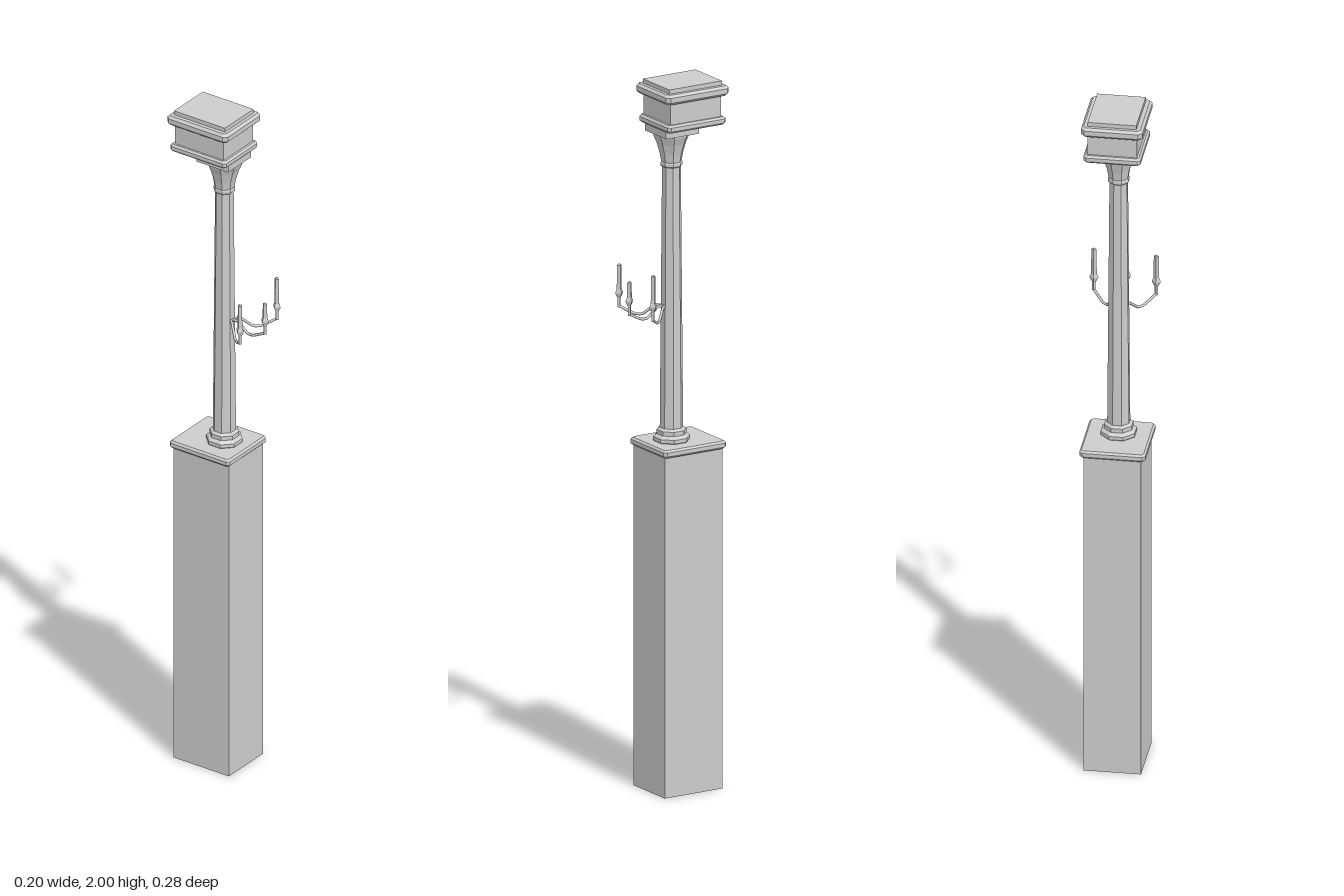
import * as THREE from 'three';

const stone = new THREE.MeshStandardMaterial({ color: 0xcccccc });
stone.name = 'light grey';

// Loft of corner-cut rectangles; each section is [y, half width, half depth, corner cut]
function loft(name, sections, cz) {
  const rings = sections.map(([y, w, d, c]) => [
    [w - c, d], [w, d - c], [w, -d + c], [w - c, -d],
    [-w + c, -d], [-w, -d + c], [-w, d - c], [-w + c, d],
  ].map(([x, z]) => [x, y, z + cz]));
  const pos = [];
  const tri = (...corners) => corners.forEach((p) => pos.push(...p));
  for (let i = 0; i < rings.length - 1; i++) {
    for (let j = 0; j < 8; j++) {
      const k = (j + 1) % 8;
      const a = rings[i][j], b = rings[i][k], c = rings[i + 1][k], d = rings[i + 1][j];
      tri(a, b, c);
      tri(a, c, d);
    }
  }
  // End faces
  const bottom = rings[0], top = rings[rings.length - 1];
  for (let j = 1; j < 7; j++) {
    tri(top[0], top[j], top[j + 1]);
    tri(bottom[0], bottom[j + 1], bottom[j]);
  }
  const geometry = new THREE.BufferGeometry();
  geometry.setAttribute('position', new THREE.Float32BufferAttribute(pos, 3));
  geometry.computeVertexNormals();
  const mesh = new THREE.Mesh(geometry, stone);
  mesh.name = name;
  return mesh;
}

// Regular octagon sections from [y, half width] pairs
const octagon = (name, profile, cz) =>
  loft(name, profile.map(([y, r]) => [y, r, r, r * 0.586]), cz);

// Rectangular moulding with softened top and bottom edges
function moulding(name, y0, y1, w, d, cz) {
  const e = (y1 - y0) * 0.25;
  return loft(name, [
    [y0, w - e, d - e, e], [y0 + e, w, d, e * 1.5],
    [y1 - e, w, d, e * 1.5], [y1, w - e, d - e, e],
  ], cz);
}

function block(name, y0, y1, w, d, cz) {
  const mesh = new THREE.Mesh(new THREE.BoxGeometry(2 * w, y1 - y0, 2 * d), stone);
  mesh.position.set(0, (y0 + y1) / 2, cz);
  mesh.name = name;
  return mesh;
}

// Curved arm with a square cup and candle at its end
function candleArm(name, end, lift) {
  const start = new THREE.Vector3(0, 0, 0.01);
  const at = (t, y) => new THREE.Vector3(end[0] * t, y, start.z + (end[1] - start.z) * t);
  const arm = new THREE.Group();
  arm.name = name;
  const path = new THREE.CatmullRomCurve3([
    at(0.05, 1.368), at(0.22, 1.37), at(0.5, 1.343), at(0.68, 1.343), at(1, 1.362),
  ], false, 'catmullrom', 0.2);
  const tube = new THREE.TubeGeometry(path, 20, 0.004, 6, false);
  const rod = new THREE.Mesh(tube, stone);
  rod.name = 'armRod';
  const profile = [
    [0, 1.357], [0.005, 1.359], [0.005, 1.385], [0.012, 1.398],
    [0.012, 1.402], [0.008, 1.41], [0.007, 1.452 + lift], [0, 1.457 + lift],
  ].map(([x, y]) => new THREE.Vector2(x, y));
  const lathe = new THREE.LatheGeometry(profile, 4).toNonIndexed();
  lathe.computeVertexNormals();
  const candle = new THREE.Mesh(lathe, stone);
  candle.name = 'candle';
  candle.position.set(end[0], 0, end[1]);
  arm.add(rod, candle);
  return arm;
}

export function createModel() {
  const model = new THREE.Group();
  model.name = 'candlePost';
  const postZ = -0.008, headZ = -0.0435, plinthZ = -0.029;

  // Tall pedestal and its slab
  model.add(block('pedestal', 0, 0.967, 0.079, 0.093, plinthZ));
  model.add(moulding('pedestalSlab', 0.964, 0.986, 0.091, 0.101, -0.03));

  // Column foot, shaft and flared capital
  model.add(octagon('columnFoot', [
    [0.984, 0.044], [0.988, 0.047], [0.998, 0.047], [1.002, 0.043],
    [1.006, 0.038], [1.018, 0.038], [1.024, 0.03],
  ], postZ));
  model.add(octagon('columnShaft', [[1.015, 0.03], [1.77, 0.024]], postZ));
  model.add(octagon('capital', [
    [1.762, 0.025], [1.765, 0.028], [1.773, 0.028], [1.776, 0.026],
    [1.8, 0.03], [1.83, 0.038], [1.85, 0.046], [1.86, 0.047],
  ], postZ));

  // Stepped rectangular head
  model.add(block('headStep', 1.857, 1.882, 0.053, 0.053, -0.01));
  model.add(moulding('headLowerMoulding', 1.878, 1.9, 0.079, 0.094, headZ));
  model.add(block('headBody', 1.892, 1.97, 0.068, 0.082, headZ));
  model.add(moulding('headUpperMoulding', 1.96, 1.988, 0.085, 0.1015, headZ));
  model.add(block('headTop', 1.98, 2, 0.067, 0.085, headZ));

  // Three candle arms on the front
  model.add(candleArm('middleArm', [0, 0.128], 0));
  model.add(candleArm('leftArm', [0.086, 0.106], 0.034));
  model.add(candleArm('rightArm', [-0.086, 0.106], 0.026));
  return model;
}
